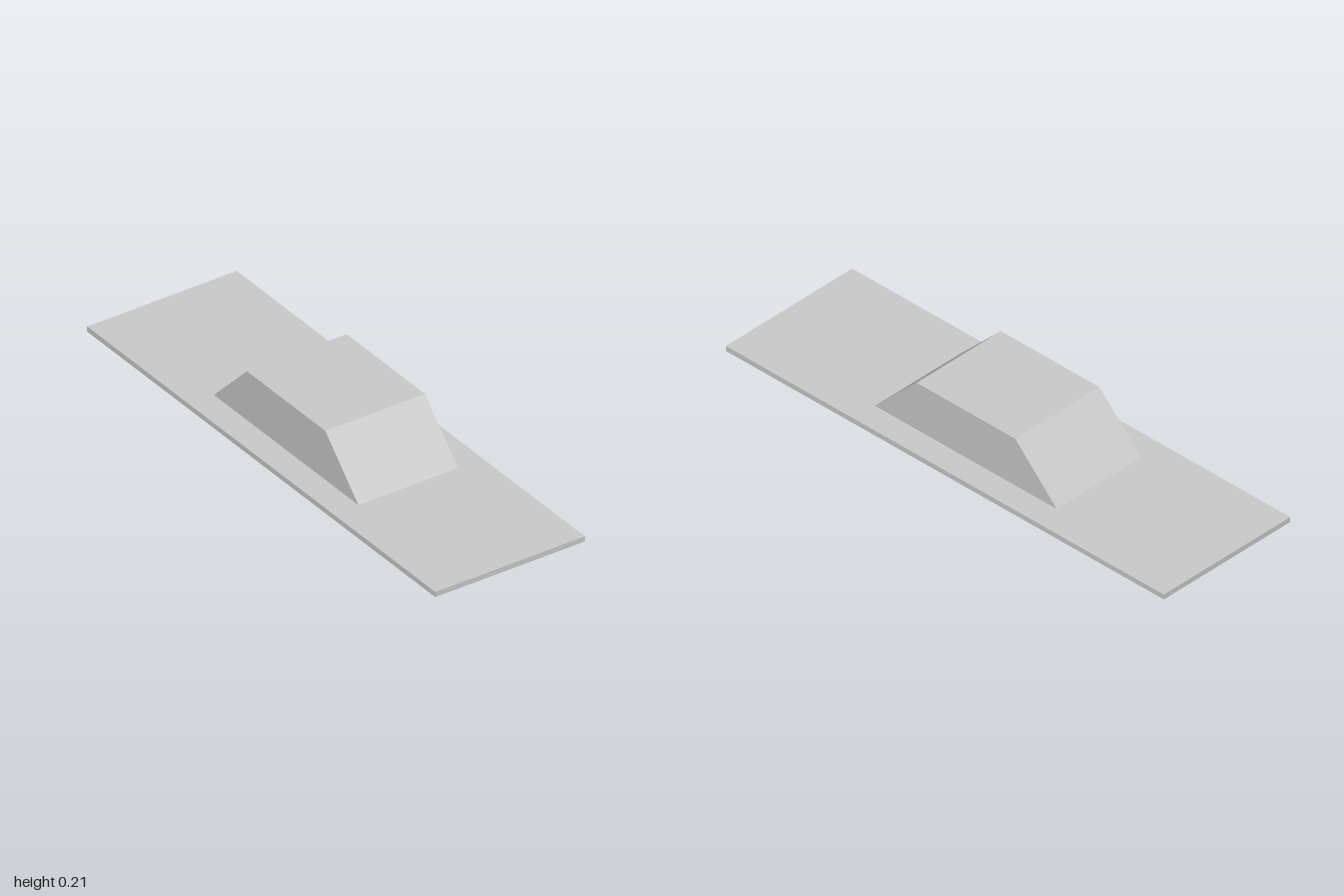
import * as THREE from 'three';

export function createModel() {
  const group = new THREE.Group();
  const material = new THREE.MeshStandardMaterial({ color: 0xcccccc, flatShading: true });

  const thickness = 0.02;
  const height = 0.21;
  const blockWidth = 0.4;

  // Long flat base plate
  const plate = new THREE.Mesh(new THREE.BoxGeometry(0.6, thickness, 2), material);
  plate.name = 'basePlate';
  plate.position.y = thickness / 2;
  group.add(plate);

  // Raised block with 45 degree ramps at front and back
  const profile = new THREE.Shape([
    new THREE.Vector2(-0.415, thickness),
    new THREE.Vector2(0.415, thickness),
    new THREE.Vector2(0.225, height),
    new THREE.Vector2(-0.225, height),
  ]);
  const geometry = new THREE.ExtrudeGeometry(profile, { depth: blockWidth, bevelEnabled: false });
  geometry.translate(0, 0, -blockWidth / 2).rotateY(-Math.PI / 2);
  const block = new THREE.Mesh(geometry, material);
  block.name = 'rampBlock';
  group.add(block);

  return group;
}
